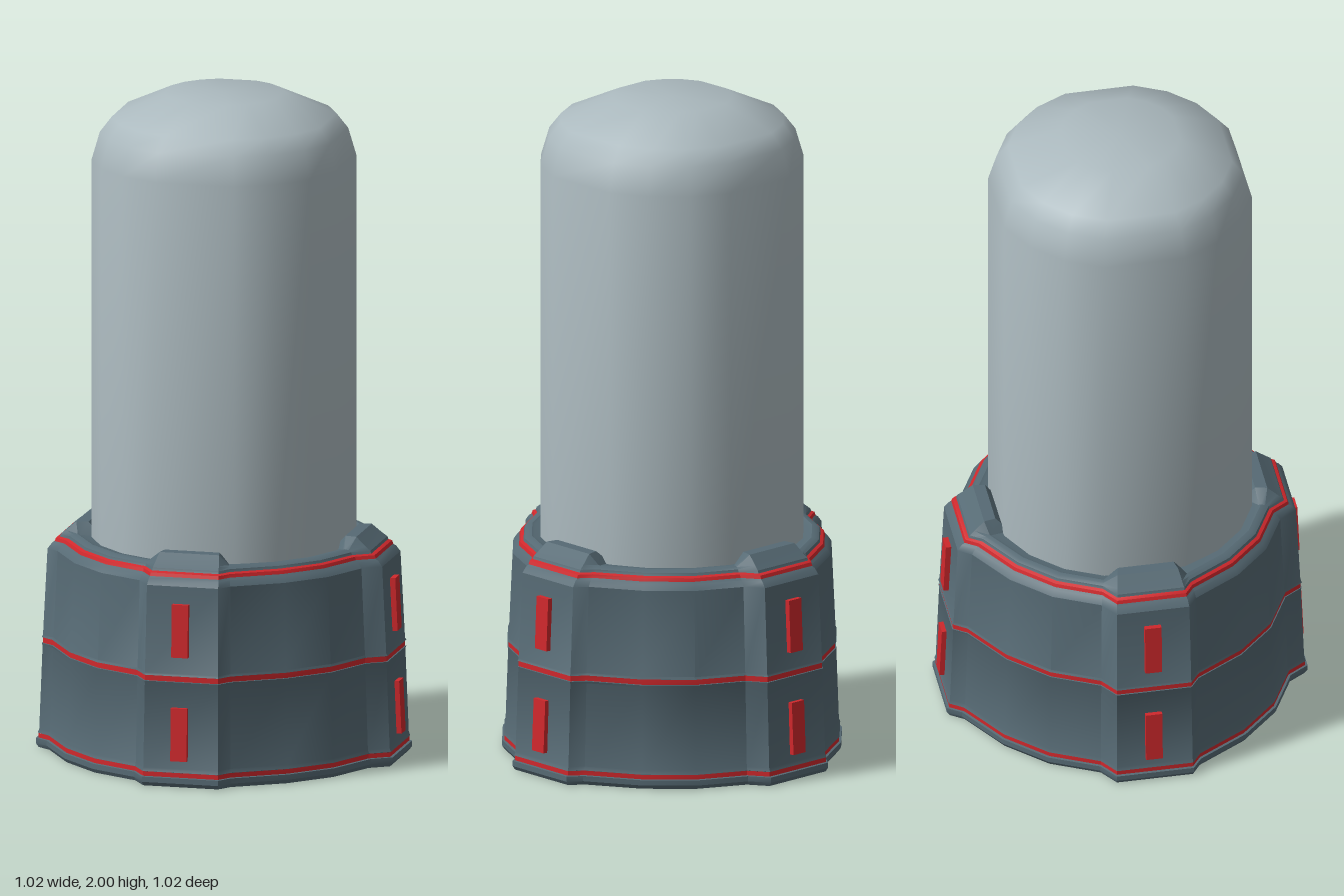
import * as THREE from 'three';
import { toCreasedNormals } from 'three/addons/utils/BufferGeometryUtils.js';

const dark = new THREE.MeshStandardMaterial({ color: 0x566a74 });
const pale = new THREE.MeshStandardMaterial({ color: 0xabb9be });
const red = new THREE.MeshStandardMaterial({ color: 0xd0282c });

// One quarter of the base outline as [x, z]; corners 2 and 3 form the lug
const QUARTER = [[0, 0.51], [0.16, 0.485], [0.225, 0.51], [0.415, 0.375], [0.415, 0.325], [0.485, 0.16]];
const isLug = i => i % 6 === 2 || i % 6 === 3;

// Repeat a quarter outline four times around the y axis
function fourFold(quarter) {
  const out = [];
  for (let q = 0; q < 4; q++) {
    const c = Math.round(Math.cos(q * Math.PI / 2)), s = Math.round(Math.sin(q * Math.PI / 2));
    for (const [x, z] of quarter) out.push([x * c + z * s, z * c - x * s]);
  }
  return out;
}
const OUTLINE = fourFold(QUARTER);

// Scaled outline at height y, optionally with its own scale and height on the lugs
const ring = (y, s, lugY = y, lugS = s) =>
  OUTLINE.map(([x, z], i) => (isLug(i) ? [x * lugS, lugY, z * lugS] : [x * s, y, z * s]));

// Skin a stack of rings, listed from bottom to top, with optional end caps
function loft(rings, crease, capBottom, capTop) {
  const n = rings[0].length, pos = rings.flat(2), index = [];
  for (let r = 0; r < rings.length - 1; r++) {
    for (let i = 0; i < n; i++) {
      const a = r * n + i, b = r * n + (i + 1) % n;
      index.push(a, b, b + n, a, b + n, a + n);
    }
  }
  const cap = (r, up) => {
    const centre = pos.length / 3;
    pos.push(0, rings[r][0][1], 0);
    for (let i = 0; i < n; i++) {
      const a = r * n + i, b = r * n + (i + 1) % n;
      index.push(centre, up ? a : b, up ? b : a);
    }
  };
  if (capBottom) cap(0, false);
  if (capTop) cap(rings.length - 1, true);
  const g = new THREE.BufferGeometry();
  g.setAttribute('position', new THREE.Float32BufferAttribute(pos, 3));
  g.setIndex(index);
  return toCreasedNormals(g, crease);
}

function addMesh(parent, name, geometry, material) {
  const mesh = new THREE.Mesh(geometry, material);
  mesh.name = name;
  parent.add(mesh);
  return mesh;
}

export function createModel() {
  const model = new THREE.Group();
  model.name = 'capsuleOnBase';

  // Tapered base with grooves, raised lug tops and an inner lip
  const lip = OUTLINE.map(([x, z]) => {
    const k = 0.365 / Math.hypot(x, z);
    return [x * k, 0.648, z * k];
  });
  const baseRings = [
    ring(0, 0.985), ring(0.012, 1), ring(0.028, 1), ring(0.03, 0.975), ring(0.042, 0.975), ring(0.044, 0.99),
    ring(0.055, 0.982), ring(0.31, 0.964), ring(0.317, 0.969), ring(0.319, 0.95), ring(0.333, 0.95),
    ring(0.335, 0.969), ring(0.342, 0.962), ring(0.605, 0.938), ring(0.622, 0.915), ring(0.628, 0.895),
    ring(0.64, 0.875), ring(0.65, 0.868), ring(0.655, 0.85, 0.662, 0.84),
    ring(0.657, 0.825, 0.688, 0.785), ring(0.654, 0.81, 0.688, 0.72), lip,
  ];
  addMesh(model, 'base', loft(baseRings, 0.5, true, false), dark);

  // Red bands lying in the grooves
  const bands = [
    ['lowerBand', [ring(0.029, 0.986), ring(0.043, 0.986)]],
    ['middleBand', [ring(0.318, 0.963), ring(0.334, 0.963)]],
    ['upperBand', [ring(0.628, 0.9), ring(0.638, 0.893), ring(0.642, 0.874)]],
  ];
  for (const [name, rings] of bands) addMesh(model, name, loft(rings, 0.5), red);

  // Tall capsule body, with its wider flats facing the lugs
  const body = fourFold([0, 18, 54, 72].map(d => {
    const a = THREE.MathUtils.degToRad(d);
    return [Math.sin(a), Math.cos(a)];
  }));
  const profile = [[0.395, 0.6], [0.395, 1.8], [0.37, 1.885], [0.335, 1.93], [0.18, 2]];
  const bodyRings = profile.map(([r, y]) => body.map(([x, z]) => [x * r, y, z * r]));
  addMesh(model, 'capsule', loft(bodyRings, 0.8, false, true), pale);

  // Two red markers on each lug
  const marker = new THREE.BoxGeometry(0.05, 0.16, 0.03);
  for (let q = 0; q < 4; q++) {
    const lug = new THREE.Group();
    lug.name = 'lugMarkers';
    lug.rotation.y = THREE.MathUtils.degToRad(35.5) + q * Math.PI / 2;
    for (const [y, z] of [[0.16, 0.532], [0.473, 0.52]]) {
      const m = addMesh(lug, 'marker', marker, red);
      m.position.set(0, y, z);
      m.rotation.x = -0.045;
    }
    model.add(lug);
  }
  return model;
}
